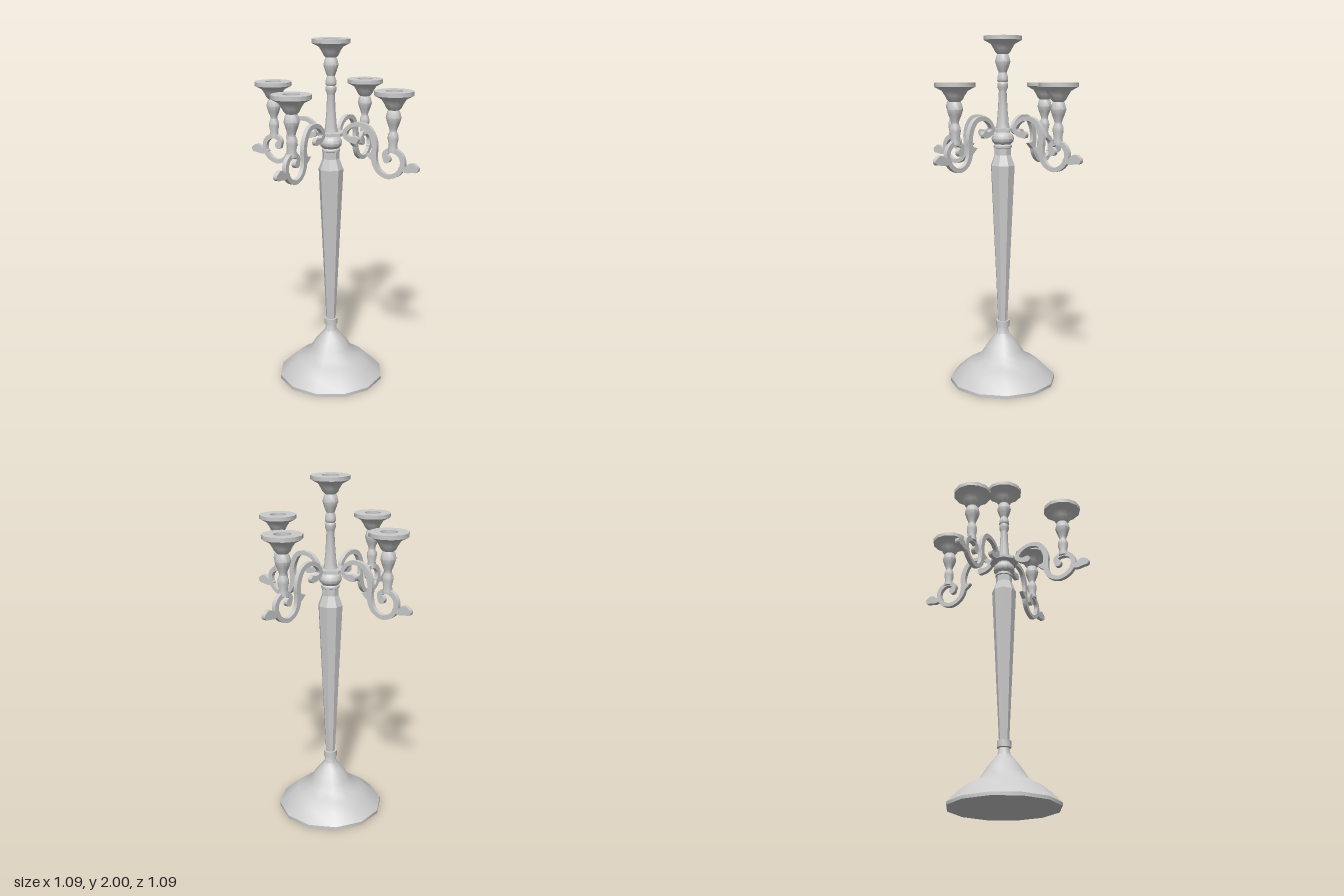
import * as THREE from 'three';
import { toCreasedNormals } from 'three/addons/utils/BufferGeometryUtils.js';

const material = new THREE.MeshStandardMaterial({ color: 0xcccccc });
const THICKNESS = 0.024;
const vec = ([x, y]) => new THREE.Vector2(x, y);

function addMesh(parent, name, geometry) {
  const mesh = new THREE.Mesh(geometry, material);
  mesh.name = name;
  parent.add(mesh);
  return mesh;
}

// Turned part: profile of [radius, height] from bottom to top, a flat side facing front
function turned(parent, name, profile, sides = 12, crease = 0.65) {
  const lathe = new THREE.LatheGeometry(profile.map(vec), sides, Math.PI / sides);
  return addMesh(parent, name, toCreasedNormals(lathe, crease));
}

// Flat plate cut from an outline, centred on z = 0
function plate(parent, name, outline) {
  const geometry = new THREE.ExtrudeGeometry(new THREE.Shape(outline), {
    depth: THICKNESS, bevelEnabled: false,
  });
  geometry.translate(0, 0, -THICKNESS / 2);
  return addMesh(parent, name, toCreasedNormals(geometry, 0.65));
}

// Scroll outline: centre line of [x, y, half width] with rounded ends
function scrollOutline(stations, samples) {
  const curve = new THREE.CatmullRomCurve3(stations.map((s) => new THREE.Vector3(...s)), false, 'centripetal');
  const left = [], right = [];
  const endCap = (p, angle, r) => {
    const cap = [];
    for (let i = 1; i < 8; i++) {
      const a = angle - (i / 8) * Math.PI;
      cap.push(new THREE.Vector2(p.x + r * Math.cos(a), p.y + r * Math.sin(a)));
    }
    return cap;
  };
  let startCap, finishCap;
  for (let i = 0; i <= samples; i++) {
    const t = i / samples;
    const p = curve.getPoint(t), d = curve.getTangent(t);
    const a = Math.atan2(d.y, d.x) + Math.PI / 2;
    const dx = Math.cos(a) * p.z, dy = Math.sin(a) * p.z;
    left.push(new THREE.Vector2(p.x + dx, p.y + dy));
    right.push(new THREE.Vector2(p.x - dx, p.y - dy));
    if (i === 0) startCap = endCap(p, a + Math.PI, p.z);
    if (i === samples) finishCap = endCap(p, a, p.z);
  }
  return [...left, ...finishCap, ...right.reverse(), ...startCap];
}

// Candle cup with a shallow socket; heights run down from its rim at 0
const CUP = [
  [0.022, -0.2], [0.033, -0.172], [0.043, -0.14], [0.036, -0.112], [0.03, -0.1],
  [0.042, -0.088], [0.052, -0.068], [0.068, -0.043], [0.1, -0.026], [0.108, -0.022],
  [0.108, 0], [0.047, 0], [0.047, -0.02], [0, -0.02],
];
const cupAt = (y) => CUP.map(([r, h]) => [r, h + y]);

function createArm() {
  const arm = new THREE.Group();

  // S-shaped scroll: inner leaf, arch, bowl and curl under the candle cup
  plate(arm, 'armScroll', scrollOutline([
    [0.158, 1.46, 0.02], [0.122, 1.462, 0.015], [0.093, 1.483, 0.013],
    [0.106, 1.516, 0.012], [0.143, 1.543, 0.012], [0.185, 1.55, 0.012],
    [0.233, 1.537, 0.014], [0.265, 1.495, 0.016], [0.28, 1.44, 0.016],
    [0.277, 1.394, 0.016], [0.284, 1.341, 0.015], [0.312, 1.3, 0.013],
    [0.365, 1.28, 0.012], [0.418, 1.3, 0.013], [0.448, 1.341, 0.014],
    [0.447, 1.389, 0.014], [0.418, 1.42, 0.014], [0.376, 1.428, 0.014],
    [0.343, 1.405, 0.014], [0.355, 1.377, 0.022],
  ], 90));

  // Leaf on the outer end and thorn on the inner side
  plate(arm, 'outerLeaf', scrollOutline([
    [0.44, 1.335, 0.012], [0.475, 1.333, 0.018], [0.505, 1.345, 0.026], [0.525, 1.341, 0.02],
  ], 14));
  plate(arm, 'thorn', [[0.275, 1.43], [0.257, 1.4], [0.225, 1.392], [0.25, 1.37], [0.282, 1.345]].map(vec));

  // Candle holder standing on the curl
  const holder = turned(arm, 'armCandleHolder', [
    [0, 1.42], [0.027, 1.42], [0.027, 1.435], [0.023, 1.455], [0.03, 1.49],
    [0.029, 1.51], [0.02, 1.53], ...cupAt(1.745),
  ]);
  holder.position.x = 0.388;
  return arm;
}

export function createModel() {
  const model = new THREE.Group();
  model.name = 'candelabra';

  // Bell-shaped foot with neck and collar
  turned(model, 'base', [
    [0, 0], [0.31, 0], [0.31, 0.018], [0.25, 0.078], [0.2, 0.117], [0.14, 0.148],
    [0.115, 0.185], [0.092, 0.222], [0.06, 0.26], [0.037, 0.288], [0.03, 0.325],
    [0.04, 0.328], [0.04, 0.365], [0, 0.365],
  ]);

  // Eight-sided column widening upward
  turned(model, 'column', [
    [0.028, 0.36], [0.071, 1.28], [0.048, 1.34], [0.048, 1.385], [0, 1.385],
  ], 8, 0.1);

  // Knob and the plate that carries the arms
  turned(model, 'knob', [
    [0.04, 1.375], [0.052, 1.382], [0.052, 1.393], [0.046, 1.4], [0.06, 1.415],
    [0.064, 1.432], [0.058, 1.452], [0.04, 1.468], [0.04, 1.478],
  ]);
  turned(model, 'armPlate', [[0, 1.475], [0.085, 1.475], [0.085, 1.492], [0, 1.492]], 8);

  // Central stem and candle holder
  turned(model, 'centralCandleHolder', [
    [0.04, 1.49], [0.034, 1.52], [0.027, 1.6], [0.022, 1.7], [0.03, 1.72],
    [0.03, 1.74], [0.025, 1.747], [0.031, 1.756], [0.03, 1.775], ...cupAt(2),
  ]);

  // Four arms in a cross
  for (let i = 0; i < 4; i++) {
    const arm = createArm();
    arm.name = `arm${i + 1}`;
    arm.rotation.y = (i * Math.PI) / 2;
    model.add(arm);
  }
  return model;
}
